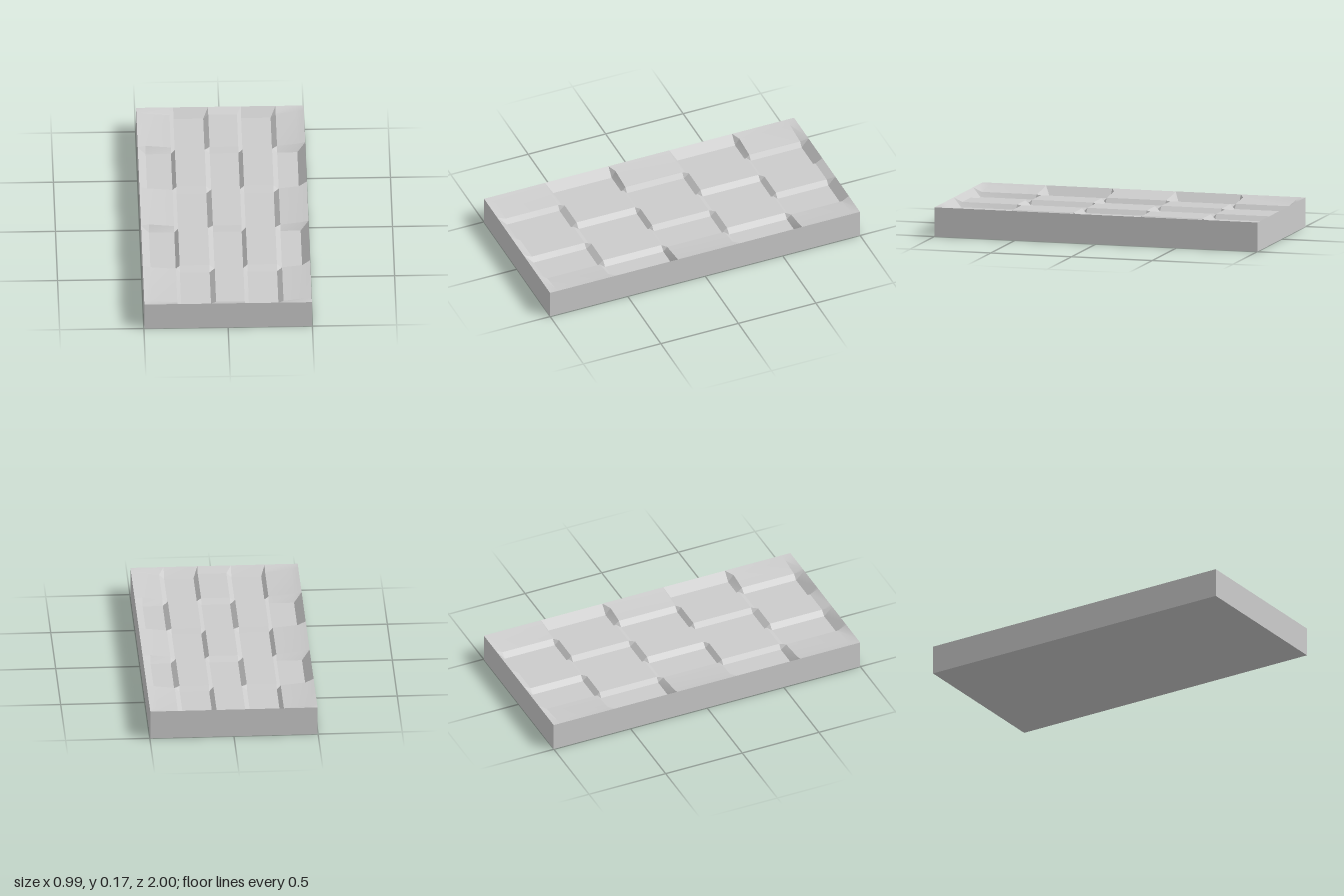
import * as THREE from 'three';
import { toCreasedNormals } from 'three/addons/utils/BufferGeometryUtils.js';

const HALF_W = 0.497, RIM = 0.175, RAISED = 0.15, SUNK = 0.122, RAISED_EDGE = 0.165;

// Grid lines: the rim, then the two limits of each of the five cells, then the rim
const XS = [-HALF_W, -0.45, -0.3, -0.277, -0.1, -0.07, 0.1, 0.125, 0.3, 0.33, 0.45, HALF_W];
const ZS = [-1, -0.955, -0.627, -0.6, -0.227, -0.195, 0.172, 0.197, 0.573, 0.607, 0.947, 1];

// Chequered pattern of raised and sunk cells inside a level rim
function heightAt(i, j) {
  const last = XS.length - 1;
  if (i === 0 || j === 0 || i === last || j === last) return RIM;
  const col = Math.floor((i - 1) / 2), row = Math.floor((j - 1) / 2);
  if ((col + row) % 2) return SUNK;
  return i === 1 || i === last - 1 ? RAISED_EDGE : RAISED;
}

function reliefGeometry() {
  const n = XS.length;
  const geo = new THREE.PlaneGeometry(1, 1, n - 1, n - 1).rotateX(-Math.PI / 2);
  const pos = geo.attributes.position;
  for (let j = 0; j < n; j++) {
    for (let i = 0; i < n; i++) pos.setXYZ(j * n + i, XS[i], heightAt(i, j), ZS[j]);
  }
  return toCreasedNormals(geo, 0.35);
}

export function createModel() {
  const model = new THREE.Group();
  model.name = 'chequeredSlab';
  const material = new THREE.MeshStandardMaterial({ color: 0xcccccc });

  // Sides and underside: a box without its top face
  const box = new THREE.BoxGeometry(HALF_W * 2, RIM, 2).translate(0, RIM / 2, 0);
  const index = Array.from(box.index.array);
  index.splice(12, 6);
  box.setIndex(index);
  box.clearGroups();
  const body = new THREE.Mesh(box, material);
  body.name = 'slabBody';

  // Recessed top with chequered cells
  const top = new THREE.Mesh(reliefGeometry(), material);
  top.name = 'chequeredTop';

  model.add(body, top);
  return model;
}
